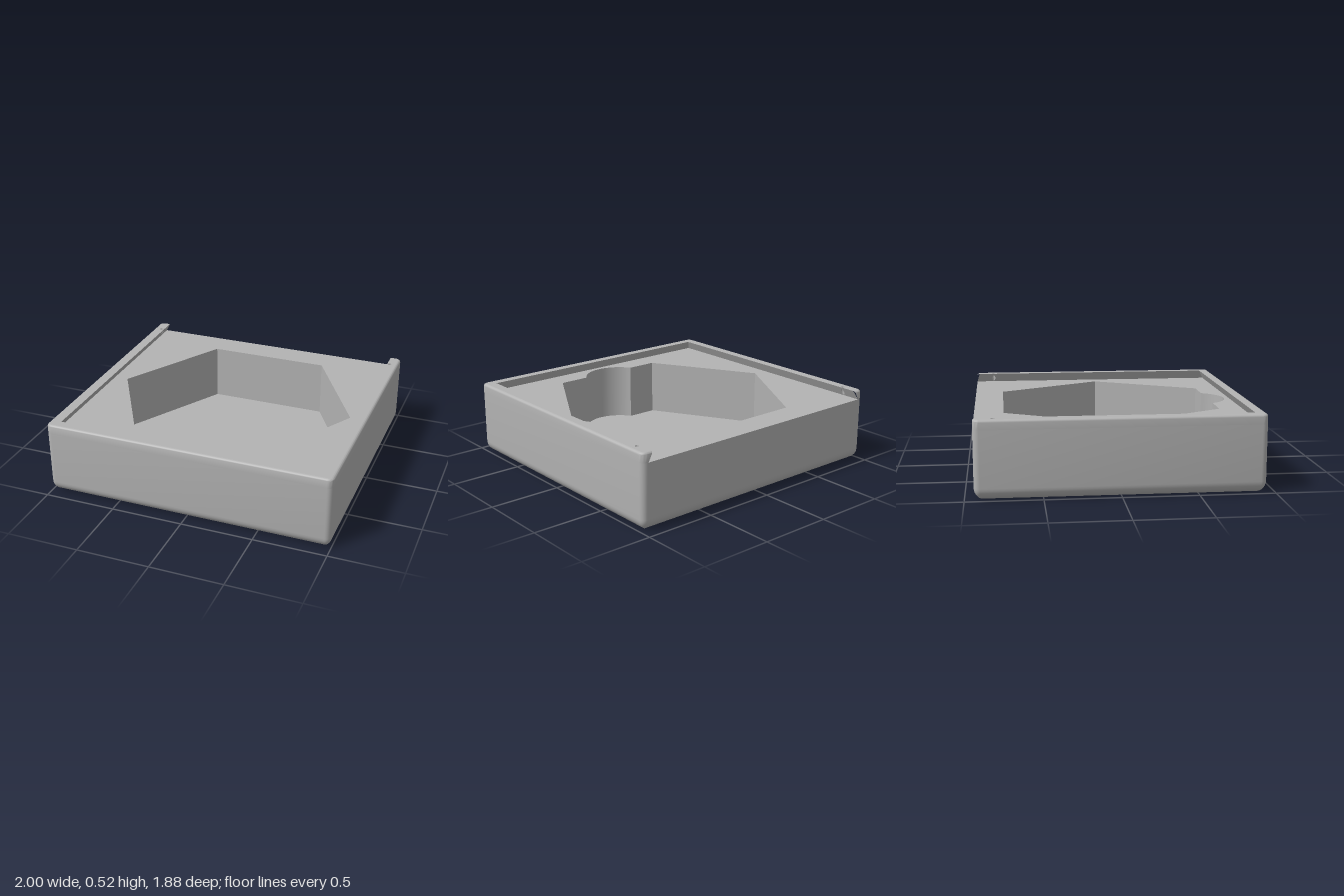
import * as THREE from 'three';
import { toCreasedNormals } from 'three/addons/utils/BufferGeometryUtils.js';

// Main dimensions
const HX = 1, HZ = 0.94, TOP = 0.52, LEDGE = 0.455, FLOOR = 0.055;
const CORNER = 0.04, BOTTOM_R = 0.08, TOP_R = 0.018;
const OPEN_X = 0.92, OPEN_Z = 0.865, UNDERCUT = 0.035;

// Height of the sloped groove wall, a given distance out from the opening
const slopeY = (out) => TOP - (out / UNDERCUT) * (TOP - LEDGE);

// Skin between rows of [x, y, z] points
function loft(rows, closed) {
  const n = rows[0].length, index = [];
  for (let i = 0; i < rows.length - 1; i++) {
    for (let j = 0; j < (closed ? n : n - 1); j++) {
      const k = (j + 1) % n, a = i * n + j, b = i * n + k;
      index.push(a, b, b + n, a, b + n, a + n);
    }
  }
  const g = new THREE.BufferGeometry();
  g.setAttribute('position', new THREE.Float32BufferAttribute(rows.flat(2), 3));
  g.setIndex(index);
  return toCreasedNormals(g, 0.6);
}

// Face from an [x, z] outline, with its height given by a rule
function face(outline, height, { holes = [], down = false } = {}) {
  const vec = (pts) => pts.map(([x, z]) => new THREE.Vector2(x, -z));
  const shape = new THREE.Shape(vec(outline));
  shape.holes = holes.map((h) => new THREE.Path(vec(h)));
  const g = new THREE.ShapeGeometry(shape).rotateX(-Math.PI / 2);
  const p = g.attributes.position;
  for (let i = 0; i < p.count; i++) p.setY(i, height(p.getX(i), p.getZ(i)));
  if (down) g.index.array.reverse();
  g.computeVertexNormals();
  return g;
}

// Rounded rectangle outline, counter-clockwise from above, starting at the back
function outline(inset) {
  const r = Math.max(CORNER - inset, 0), pts = [], steps = 6;
  [[-1, 1], [-1, -1], [1, -1], [1, 1]].forEach(([sx, sv], c) => {
    for (let i = 0; i <= steps; i++) {
      const a = (Math.PI / 2) * (c + 1 + i / steps);
      pts.push([
        sx * (HX - inset - r) + r * Math.cos(a),
        -sv * (HZ - inset - r) - r * Math.sin(a),
      ]);
    }
  });
  return pts;
}

function circle(cx, cz, r, n = 20) {
  return Array.from({ length: n }, (_, i) => {
    const a = (i / n) * Math.PI * 2;
    return [cx + r * Math.cos(a), cz - r * Math.sin(a)];
  });
}

// Hexagonal pocket outline with a round finger notch at the front
function pocketOutline() {
  const pts = [[0.855, 0], [0.43, -0.74], [-0.43, -0.74], [-0.855, 0], [-0.43, 0.74]];
  const r = 0.239, cz = OPEN_Z - r, half = Math.asin(0.21 / r), n = 24;
  for (let i = 0; i <= n; i++) {
    const a = -half + (2 * half * i) / n;
    pts.push([r * Math.sin(a), cz + r * Math.cos(a)]);
  }
  pts.push([0.43, 0.74]);
  return pts;
}

export function createModel() {
  const group = new THREE.Group();
  const grey = new THREE.MeshStandardMaterial({ color: 0xb3b3b3 });
  grey.name = 'grey';
  const add = (name, geometry) => {
    const mesh = new THREE.Mesh(geometry, grey);
    mesh.name = name;
    group.add(mesh);
  };
  const at = (pts, y) => pts.map(([x, z]) => [x, y, z]);

  // Outer body with rounded lower edge
  const body = [];
  for (let i = 0; i <= 8; i++) {
    const a = (i / 8) * (Math.PI / 2);
    body.push(at(outline(BOTTOM_R * (1 - Math.sin(a))), BOTTOM_R * (1 - Math.cos(a))));
  }
  body.push(at(outline(0), LEDGE));
  add('outerBody', loft(body, true));
  add('underside', face(outline(BOTTOM_R), () => 0, { down: true }));

  // Three-sided rim, open at the back, with rounded upper edge
  const rimRow = (inset, y) => {
    const inner = OPEN_X + (UNDERCUT * (TOP - y)) / (TOP - LEDGE);
    const back = -HZ + inset;
    return at([[-inner, back], ...outline(inset), [inner, back]], y);
  };
  const rim = [rimRow(0, LEDGE)];
  for (let i = 0; i <= 5; i++) {
    const a = (i / 5) * (Math.PI / 2);
    rim.push(rimRow(TOP_R * (1 - Math.cos(a)), TOP - TOP_R * (1 - Math.sin(a))));
  }
  add('rimOuterWall', loft(rim, false));

  // Rim top with a small catch hole near each rail end
  const holes = [-1, 1].map((s) => circle(s * 0.94, -0.81, 0.013));
  const backTop = -HZ + TOP_R;
  add('rimTop', face([
    [-OPEN_X, backTop], ...outline(TOP_R), [OPEN_X, backTop],
    [OPEN_X, OPEN_Z], [-OPEN_X, OPEN_Z],
  ], () => TOP, { holes }));

  // Undercut slide groove and the catch hole shafts
  const grooveX = OPEN_X + UNDERCUT, grooveZ = OPEN_Z + UNDERCUT;
  [-1, 1].forEach((s, i) => {
    const side = s < 0 ? 'right' : 'left';
    const sideY = (x) => slopeY(Math.abs(x) - OPEN_X);
    add(side + 'GrooveWall', face([
      [s * OPEN_X, backTop], [s * grooveX, -HZ], [s * grooveX, grooveZ], [s * OPEN_X, OPEN_Z],
    ], sideY, { holes: [holes[i]], down: true }));
    add(side + 'CatchHole', loft([
      at(holes[i], TOP), holes[i].map(([x, z]) => [x, sideY(x), z]),
    ], true));
  });
  add('frontGrooveWall', face([
    [-OPEN_X, OPEN_Z], [OPEN_X, OPEN_Z], [grooveX, grooveZ], [-grooveX, grooveZ],
  ], (x, z) => slopeY(z - OPEN_Z), { down: true }));

  // Ledge with the pocket cut into it
  const pocket = pocketOutline();
  add('ledge', face([
    [-grooveX, -HZ], [grooveX, -HZ], [grooveX, grooveZ], [-grooveX, grooveZ],
  ], () => LEDGE, { holes: [pocket] }));
  add('pocketWall', loft([at(pocket, LEDGE), at(pocket, FLOOR)], true));
  add('pocketFloor', face(pocket, () => FLOOR));

  return group;
}
